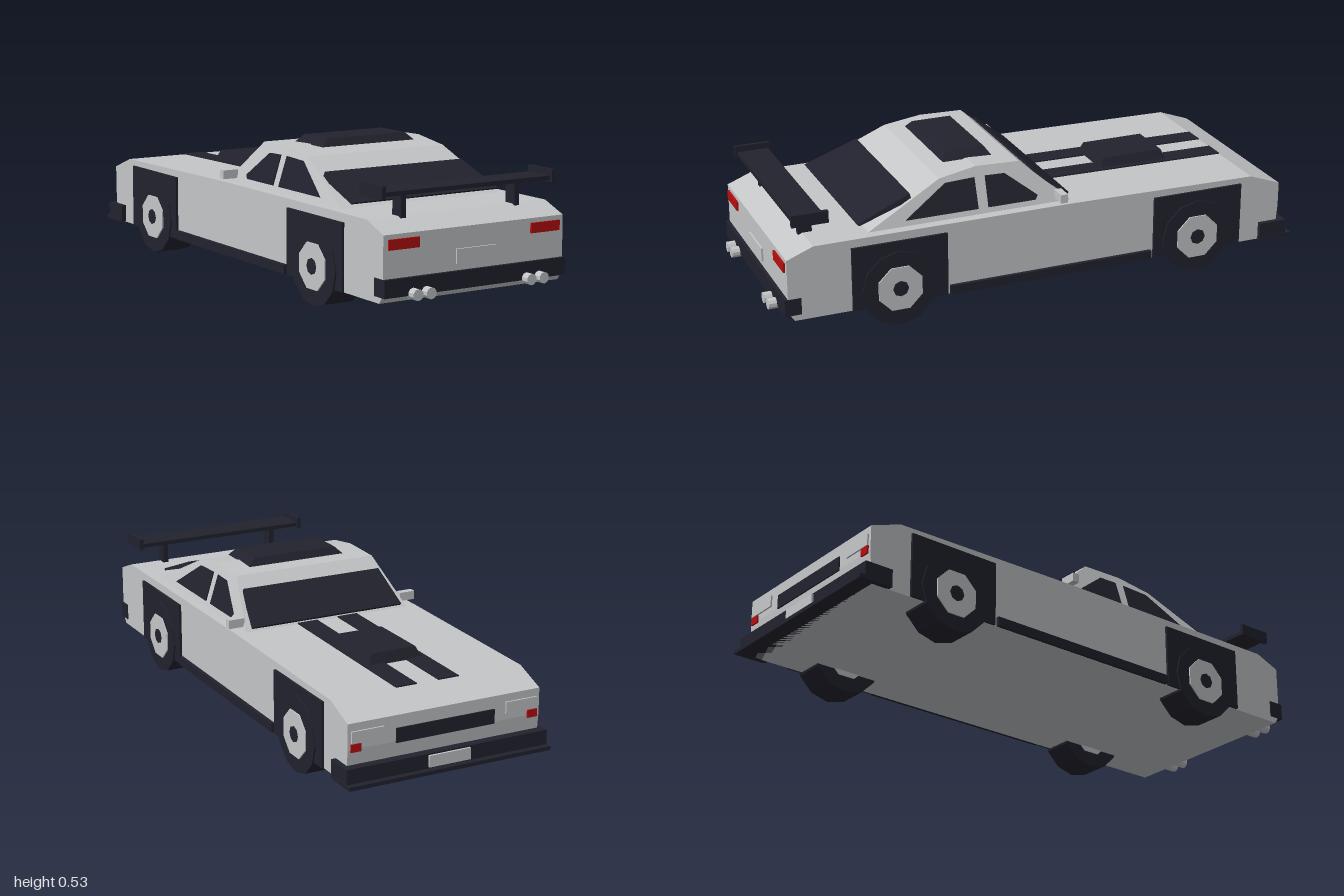
import * as THREE from 'three';

const paint = (name, color) => {
  const m = new THREE.MeshStandardMaterial({ color, flatShading: true });
  m.name = name;
  return m;
};

export function createModel() {
  const car = new THREE.Group();
  car.name = 'raceCar';
  const silver = paint('silver', 0xc4c6c8);
  const dark = paint('darkTrim', 0x22222e);
  const red = paint('redLamp', 0xb80e0e);

  const add = (name, geometry, material) => {
    const mesh = new THREE.Mesh(geometry, material);
    mesh.name = name;
    car.add(mesh);
    return mesh;
  };
  // Box given by its limits on each axis
  const box = (name, material, [x0, x1], [y0, y1], [z0, z1]) => {
    const g = new THREE.BoxGeometry(x1 - x0, y1 - y0, z1 - z0);
    g.translate((x0 + x1) / 2, (y0 + y1) / 2, (z0 + z1) / 2);
    return add(name, g, material);
  };
  // The same box on both sides of the car
  const boxPair = (name, material, [x0, x1], y, z) => {
    box(name + 'Left', material, [x0, x1], y, z);
    box(name + 'Right', material, [-x1, -x0], y, z);
  };
  // Side profile of [z, y] points spanned between two x limits that may vary with height
  const span = (name, material, points, xMin, xMax) => {
    const shape = new THREE.Shape(points.map(([z, y]) => new THREE.Vector2(-z, y)));
    const g = new THREE.ExtrudeGeometry(shape, { depth: 1, bevelEnabled: false });
    g.rotateY(Math.PI / 2);
    const p = g.attributes.position;
    for (let i = 0; i < p.count; i++) {
      const y = p.getY(i);
      p.setX(i, p.getX(i) < 0.5 ? xMin(y) : xMax(y));
    }
    g.computeVertexNormals();
    return add(name, g, material);
  };
  const wide = (name, material, points, half) => span(name, material, points, y => -half(y), half);
  // Block with a smaller top
  const frustum = (name, x, [y0, y1], [z0, z1], inset) => {
    const g = new THREE.BoxGeometry(2 * x, y1 - y0, z1 - z0);
    const p = g.attributes.position;
    for (let i = 0; i < p.count; i++) {
      if (p.getY(i) > 0) {
        p.setX(i, p.getX(i) - Math.sign(p.getX(i)) * inset);
        p.setZ(i, p.getZ(i) - Math.sign(p.getZ(i)) * 0.018);
      }
    }
    g.translate(0, (y0 + y1) / 2, (z0 + z1) / 2);
    g.computeVertexNormals();
    return add(name, g, dark);
  };

  // Lower body, nose towards -z
  wide('body', silver, [
    [0.935, 0.078], [0.957, 0.11], [0.957, 0.307], [0.86, 0.345], [-0.1, 0.346],
    [-0.83, 0.336], [-0.95, 0.292], [-0.95, 0.2], [-0.94, 0.078],
  ], () => 0.37);

  // Cabin with sides leaning inwards
  const cabinHalf = y => 0.332 - (y - 0.345) * 0.32;
  wide('cabin', silver, [
    [0.66, 0.34], [0.37, 0.485], [0.23, 0.508], [0.065, 0.503], [-0.12, 0.34],
  ], cabinHalf);
  wide('rearWindow', dark, [[0.68, 0.368], [0.48, 0.447], [0.475, 0.425], [0.672, 0.362]],
    y => 0.305 - (y - 0.366) * 0.2);
  wide('windscreen', dark, [[0.012, 0.468], [-0.12, 0.363], [-0.112, 0.355], [0.014, 0.452]],
    y => 0.306 - (y - 0.36) * 0.24);
  const windows = {
    rearSideWindow: [[0.51, 0.365], [0.35, 0.468], [0.24, 0.472], [0.238, 0.365]],
    frontSideWindow: [[0.2, 0.365], [0.2, 0.472], [0.125, 0.47], [0.01, 0.38], [0.02, 0.365]],
  };
  for (const [name, points] of Object.entries(windows)) {
    span(name + 'Left', dark, points, y => cabinHalf(y) - 0.003, y => cabinHalf(y) + 0.004);
    span(name + 'Right', dark, points, y => -cabinHalf(y) - 0.004, y => -cabinHalf(y) + 0.003);
  }
  boxPair('mirror', silver, [0.322, 0.383], [0.358, 0.39], [-0.082, -0.055]);
  frustum('roofVent', 0.195, [0.505, 0.532], [0.135, 0.32], 0.028);

  // Bonnet stripes and scoop
  const stripe = [[-0.11, 0.344], [-0.11, 0.35], [-0.83, 0.34], [-0.83, 0.334]];
  span('stripeLeft', dark, stripe, () => 0.042, () => 0.122);
  span('stripeRight', dark, stripe, () => -0.122, () => -0.042);
  frustum('bonnetScoop', 0.105, [0.335, 0.378], [-0.615, -0.34], 0.018);

  // Wheel panels and sills
  boxPair('rearWheelPanel', dark, [0.365, 0.379], [0.079, 0.315], [0.374, 0.727]);
  boxPair('frontWheelPanel', dark, [0.365, 0.379], [0.079, 0.315], [-0.786, -0.43]);
  boxPair('sideSkirt', dark, [0.36, 0.384], [0.079, 0.112], [-0.42, 0.366]);

  // Wheels: tyre, rim and hub cylinders lying along x
  const disc = (r, width, sides) => new THREE.CylinderGeometry(r, r, width, sides).rotateZ(Math.PI / 2);
  for (const [end, z] of [['rear', 0.555], ['front', -0.605]]) {
    for (const [side, s] of [['Left', 1], ['Right', -1]]) {
      const layers = [
        ['Tyre', disc(0.14, 0.117, 12), dark],
        ['Rim', disc(0.087, 0.127, 8).rotateX(Math.PI / 8), silver],
        ['Hub', disc(0.029, 0.133, 8), dark],
      ];
      for (const [part, g, m] of layers) {
        add(end + side + part, g, m).position.set(s * 0.326, 0.14, z);
      }
    }
  }

  // Rear end
  box('rearBumper', dark, [-0.373, 0.373], [0.1, 0.161], [0.91, 0.97]);
  boxPair('tailLight', red, [0.23, 0.352], [0.256, 0.291], [0.95, 0.964]);
  box('rearPlate', silver, [-0.08, 0.08], [0.184, 0.234], [0.95, 0.964]);
  for (const x of [-0.26, -0.207, 0.207, 0.26]) {
    const pipe = new THREE.CylinderGeometry(0.02, 0.02, 0.1, 10).rotateX(Math.PI / 2);
    add('exhaust', pipe, silver).position.set(x, 0.106, 0.95);
  }

  // Rear wing
  box('wingBlade', dark, [-0.345, 0.345], [0.424, 0.439], [0.805, 0.92]);
  boxPair('wingEndPlate', dark, [0.342, 0.356], [0.417, 0.461], [0.797, 0.929]);
  boxPair('wingStrut', dark, [0.225, 0.245], [0.336, 0.426], [0.825, 0.875]);

  // Front end
  box('frontBumper', dark, [-0.388, 0.388], [0.08, 0.145], [-0.978, -0.87]);
  box('frontLip', dark, [-0.39, 0.39], [0.078, 0.092], [-1, -0.88]);
  box('frontPlate', silver, [-0.08, 0.08], [0.098, 0.14], [-0.986, -0.97]);
  box('grille', dark, [-0.19, 0.19], [0.195, 0.247], [-0.955, -0.94]);
  boxPair('headlight', silver, [0.235, 0.358], [0.222, 0.264], [-0.956, -0.94]);
  boxPair('frontMarker', red, [0.322, 0.36], [0.192, 0.22], [-0.956, -0.94]);

  return car;
}
